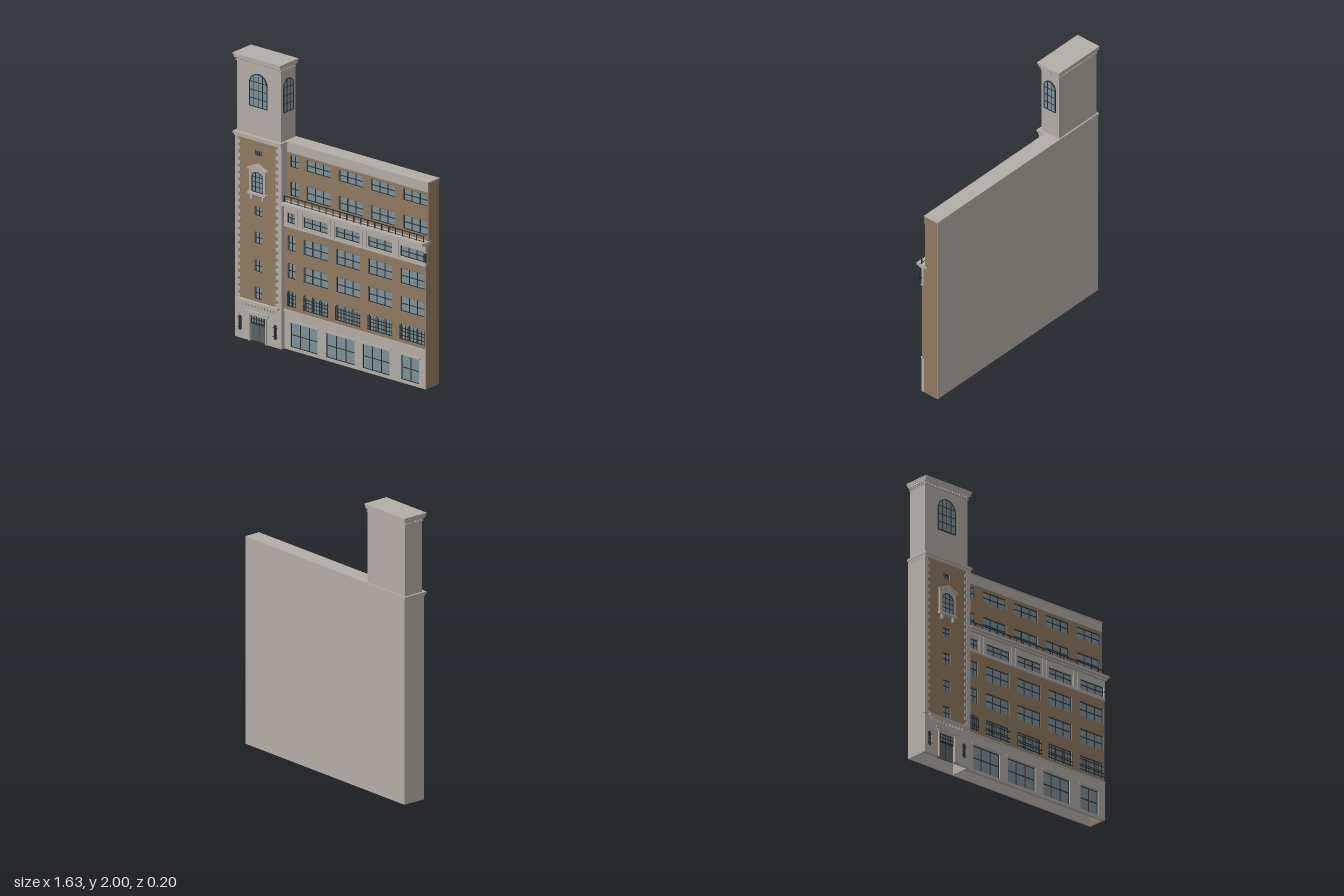
import * as THREE from 'three';

const mat = (name, color) => Object.assign(new THREE.MeshStandardMaterial({ color }), { name });
const stone = mat('stone', 0xb3ada5);
const brick = mat('brick', 0x917a61);
const glass = mat('glass', 0x7d9199);
const dark = mat('dark metal', 0x2c3336);
const doorGrey = mat('door grey', 0x5c6163);

// Box given by its extents
function box(parent, name, m, x0, x1, y0, y1, z0, z1) {
  const mesh = new THREE.Mesh(new THREE.BoxGeometry(x1 - x0, y1 - y0, z1 - z0), m);
  mesh.position.set((x0 + x1) / 2, (y0 + y1) / 2, (z0 + z1) / 2);
  mesh.name = name;
  parent.add(mesh);
  return mesh;
}

function extrude(parent, name, m, shape, depth, z) {
  const mesh = new THREE.Mesh(new THREE.ExtrudeGeometry(shape, { depth, bevelEnabled: false, curveSegments: 16 }), m);
  mesh.position.z = z;
  mesh.name = name;
  parent.add(mesh);
}

const outline = (Type, pts) => new Type(pts.map(p => new THREE.Vector2(...p)));
const rect = (Type, x0, x1, y0, y1) => outline(Type, [[x0, y0], [x1, y0], [x1, y1], [x0, y1]]);

// Front wall pierced by windows; each window is {x0,x1,y0,y1,cols,rows}
function wall(parent, name, m, x0, x1, y0, y1, front, windows) {
  const shape = rect(THREE.Shape, x0, x1, y0, y1);
  windows.forEach(w => shape.holes.push(rect(THREE.Path, w.x0, w.x1, w.y0, w.y1)));
  extrude(parent, name, m, shape, 0.02, front - 0.02);
  windows.forEach(w => glazing(parent, w, front - 0.013));
}

// Glass pane with frame and glazing bars
function glazing(parent, { x0, x1, y0, y1, cols, rows }, z) {
  const g = new THREE.Group();
  g.name = 'window';
  parent.add(g);
  box(g, 'pane', glass, x0, x1, y0, y1, z - 0.005, z);
  const t = 0.0025;
  for (let i = 0; i <= cols; i++) {
    const x = THREE.MathUtils.clamp(x0 + (x1 - x0) * i / cols, x0 + t, x1 - t);
    box(g, 'upright', dark, x - t, x + t, y0, y1, z, z + 0.005);
  }
  for (let i = 0; i <= rows; i++) {
    const y = THREE.MathUtils.clamp(y0 + (y1 - y0) * i / rows, y0 + t, y1 - t);
    box(g, 'crossbar', dark, x0, x1, y - t, y + t, z, z + 0.005);
  }
}

function archShape(Type, w, y0, y1) {
  const s = new Type();
  s.moveTo(-w, y0);
  s.lineTo(w, y0);
  s.lineTo(w, y1 - w);
  s.absarc(0, y1 - w, w, 0, Math.PI, false);
  s.lineTo(-w, y0);
  return s;
}

// Round-headed window, centred on its group's x = 0 and lying on z = 0
function archWindow(parent, w, y0, y1, cols, rows) {
  const g = new THREE.Group();
  g.name = 'archedWindow';
  parent.add(g);
  extrude(g, 'pane', glass, archShape(THREE.Shape, w, y0, y1), 0.004, 0);
  const ring = archShape(THREE.Shape, w + 0.003, y0 - 0.003, y1 + 0.003);
  ring.holes.push(archShape(THREE.Path, w - 0.002, y0 + 0.002, y1 - 0.002));
  extrude(g, 'frame', dark, ring, 0.008, 0);
  const spring = y1 - w, t = 0.002;
  for (let i = 1; i < cols; i++) {
    const x = -w + 2 * w * i / cols;
    box(g, 'upright', dark, x - t, x + t, y0, spring + Math.sqrt(w * w - x * x), 0, 0.007);
  }
  for (let i = 1; i < rows; i++) {
    const y = y0 + (y1 - y0) * i / rows;
    const h = y > spring ? Math.sqrt(w * w - (y - spring) ** 2) : w;
    box(g, 'crossbar', dark, -h, h, y - t, y + t, 0, 0.007);
  }
  return g;
}

function createMainBlock() {
  const g = new THREE.Group();
  g.name = 'mainBlock';
  const L = -0.41, R = 0.797, F = 0.045, S = 0.017;
  const columns = [[-0.384, -0.315, 2], [-0.246, -0.04, 3], [0.03, 0.236, 3], [0.305, 0.51, 3], [0.58, 0.787, 3]];
  const row = (y0, y1, rows = 2) => columns.map(([x0, x1, cols]) => ({ x0, x1, y0, y1, cols, rows }));

  // Street floor with shop windows
  const shops = [[-0.358, -0.125, 3], [-0.055, 0.188, 3], [0.257, 0.49, 3], [0.585, 0.74, 2]]
    .map(([x0, x1, cols]) => ({ x0, x1, y0: 0.02, y1: 0.195, cols, rows: 2 }));
  wall(g, 'streetFloor', stone, L, R, 0, 0.275, F + 0.002, shops);
  shops.forEach(w => box(g, 'shopLintel', stone, w.x0 - 0.012, w.x1 + 0.012, 0.198, 0.211, F, F + 0.01));
  box(g, 'streetCornice', stone, L, R, 0.27, 0.28, F - 0.02, F + 0.008);

  // Brick floors, stone floor, set-back floors
  wall(g, 'lowerBrick', brick, L, R, 0.275, 0.87, F, [...row(0.30, 0.414), ...row(0.5, 0.61), ...row(0.695, 0.806)]);
  wall(g, 'stoneFloor', stone, L, R, 0.87, 1.015, F + 0.004, row(0.89, 0.965));
  box(g, 'stoneFloorSill', stone, L, R, 0.865, 0.875, F - 0.01, F + 0.01);
  wall(g, 'upperBrick', brick, L, R, 1.02, 1.38, S, [...row(1.07, 1.172), ...row(1.273, 1.358)]);
  box(g, 'topFrieze', stone, L, R, 1.378, 1.446, 0, S + 0.003);

  // Window guards on the first brick floor
  columns.forEach(([x0, x1, cols]) => {
    const n = cols * 3;
    for (let i = 0; i <= n; i++) {
      const x = x0 + (x1 - x0) * i / n;
      box(g, 'guardBar', dark, x - 0.0015, x + 0.0015, 0.305, 0.405, F + 0.002, F + 0.006);
    }
    [0.31, 0.335, 0.385].forEach(y => box(g, 'guardRail', dark, x0 - 0.004, x1 + 0.004, y - 0.002, y + 0.002, F, F + 0.007));
  });

  // Slim pilasters between the stone floor windows
  for (let i = 0; i < columns.length - 1; i++) {
    const mid = (columns[i][1] + columns[i + 1][0]) / 2;
    [-0.018, 0.018].forEach(d => box(g, 'pilaster', stone, mid + d - 0.008, mid + d + 0.008, 0.876, 1.01, F, F + 0.009));
  }

  // Balcony and railing
  box(g, 'balconyMoulding', stone, L, R, 1.008, 1.02, 0, 0.07);
  box(g, 'balconySlab', stone, L, 0.80, 1.018, 1.035, 0, 0.09);
  box(g, 'topRail', dark, L, R, 1.076, 1.082, 0.053, 0.059);
  box(g, 'bottomRail', dark, L, R, 1.04, 1.043, 0.054, 0.058);
  for (let i = 0; i <= 20; i++) {
    const x = L + 0.006 + i * 0.0595;
    box(g, 'railPost', dark, x - 0.003, x + 0.003, 1.035, 1.078, 0.053, 0.059);
  }

  // Side, roof and small wall bracket
  box(g, 'sideWallLower', brick, R - 0.012, R, 0, 1.015, -0.09, F - 0.002);
  box(g, 'sideWallUpper', brick, R - 0.012, R, 1.015, 1.444, -0.09, S - 0.002);
  box(g, 'roof', stone, L, R, 1.435, 1.445, -0.09, S);
  box(g, 'roofEdge', stone, L, R + 0.002, 1.443, 1.45, -0.095, S + 0.008);
  box(g, 'sideBracket', dark, R - 0.002, 0.812, 0.9, 0.962, 0.058, 0.064);
  box(g, 'bracketArm', dark, R - 0.01, 0.803, 0.925, 0.935, F, 0.06);
  return g;
}

function createTower() {
  const g = new THREE.Group();
  g.name = 'tower';
  const L = -0.807, R = -0.41, F = 0.07, C = -0.613;

  // Entrance floor
  const slits = [[-0.78, -0.75], [-0.48, -0.45]].map(([x0, x1]) => ({ x0, x1, y0: 0.06, y1: 0.155, cols: 2, rows: 4 }));
  const transom = { x0: -0.68, x1: -0.548, y0: 0.125, y1: 0.18, cols: 6, rows: 2 };
  const base = outline(THREE.Shape, [[L, 0], [-0.68, 0], [-0.68, 0.18], [-0.548, 0.18], [-0.548, 0], [R, 0], [R, 0.28], [L, 0.28]]);
  slits.forEach(w => base.holes.push(rect(THREE.Path, w.x0, w.x1, w.y0, w.y1)));
  extrude(g, 'entranceFloor', stone, base, 0.025, F - 0.02);
  slits.forEach(w => {
    glazing(g, w, F - 0.008);
    [0.25, 0.5, 0.75].forEach(k => {
      const x = w.x0 + (w.x1 - w.x0) * k;
      box(g, 'grilleBar', dark, x - 0.002, x + 0.002, 0.056, 0.159, F + 0.004, F + 0.008);
    });
    [0.075, 0.14].forEach(y => box(g, 'grilleRail', dark, w.x0 - 0.003, w.x1 + 0.003, y - 0.002, y + 0.002, F + 0.004, F + 0.009));
  });
  glazing(g, transom, F - 0.012);
  [[-0.68, C - 0.002], [C + 0.002, -0.548]].forEach(([x0, x1]) => box(g, 'doorLeaf', doorGrey, x0, x1, 0, 0.12, F - 0.02, F - 0.012));
  box(g, 'doorGap', dark, C - 0.002, C + 0.002, 0, 0.12, F - 0.02, F - 0.013);
  box(g, 'doorHead', dark, -0.68, -0.548, 0.116, 0.126, F - 0.02, F - 0.005);
  [-0.692, -0.548].forEach(x => box(g, 'doorJamb', stone, x, x + 0.012, 0, 0.19, F, F + 0.012));
  box(g, 'doorLintel', stone, -0.7, -0.528, 0.188, 0.2, F, F + 0.014);
  box(g, 'doorHood', stone, -0.712, -0.516, 0.2, 0.214, F, F + 0.018);

  // Cornice on brackets above the entrance
  box(g, 'entranceCornice', stone, -0.775, -0.43, 0.272, 0.284, F - 0.01, 0.096);
  box(g, 'entranceCorniceLower', stone, -0.762, -0.443, 0.262, 0.273, F - 0.01, 0.088);
  for (let i = 0; i < 11; i++) {
    const x = -0.745 + i * 0.0264;
    box(g, 'corniceBracket', stone, x - 0.007, x + 0.007, 0.24, 0.263, F, 0.084);
  }

  // Brick shaft with small windows and a vent
  const lights = [[0.30, 0.387], [0.493, 0.578], [0.69, 0.775], [0.886, 0.955]]
    .map(([y0, y1]) => ({ x0: -0.645, x1: -0.58, y0, y1, cols: 2, rows: 2 }));
  lights.push({ x0: -0.643, x1: -0.584, y0: 1.31, y1: 1.348, cols: 4, rows: 1 });
  wall(g, 'brickShaft', brick, L, R, 0.28, 1.43, F, lights);

  // Quoins, alternately long and short
  for (let i = 0; i < 46; i++) {
    const y = 0.284 + i * 0.0247, w = i % 2 ? 0.024 : 0.042;
    box(g, 'quoinRight', stone, L - 0.002, L + w, y, y + 0.0247, F - 0.02, F + 0.006);
    box(g, 'quoinLeft', stone, R - w - 0.008, R + 0.001, y, y + 0.0247, F - 0.02, F + 0.006);
  }

  // Pedimented window
  const arch = archWindow(g, 0.047, 1.06, 1.2, 3, 4);
  arch.position.set(C, 0, F + 0.004);
  [-1, 1].forEach(s => {
    box(g, 'windowPilaster', stone, C + s * 0.06 - 0.01, C + s * 0.06 + 0.01, 1.06, 1.215, F, F + 0.014);
    box(g, 'sillBracket', stone, C + s * 0.048 - 0.007, C + s * 0.048 + 0.007, 1.005, 1.045, F, F + 0.018);
  });
  const surround = rect(THREE.Shape, C - 0.06, C + 0.06, 1.05, 1.22);
  const hole = archShape(THREE.Path, 0.047, 1.06, 1.2);
  surround.holes.push(new THREE.Path(hole.getPoints(16).map(p => p.setX(p.x + C))));
  extrude(g, 'windowSurround', stone, surround, 0.01, F);
  box(g, 'windowSill', stone, C - 0.075, C + 0.075, 1.04, 1.055, F, 0.094);
  box(g, 'pedimentBase', stone, C - 0.078, C + 0.078, 1.213, 1.224, F, 0.09);
  extrude(g, 'pediment', stone, outline(THREE.Shape, [[C - 0.083, 1.222], [C + 0.083, 1.222], [C, 1.262]]), 0.024, F);

  // Side walls and mid cornice
  box(g, 'outerSide', stone, L, L + 0.012, 0, 1.43, -0.09, F - 0.001);
  box(g, 'innerSide', stone, R - 0.012, R, 0, 1.43, -0.09, F - 0.001);
  box(g, 'midCorniceLower', stone, L - 0.003, R + 0.002, 1.418, 1.434, -0.09, 0.082);
  box(g, 'midCornice', stone, -0.815, -0.405, 1.434, 1.45, -0.095, 0.093);

  // Belfry with arched windows on the front and inner side
  box(g, 'belfry', stone, -0.80, -0.424, 1.45, 1.97, -0.085, 0.066);
  archWindow(g, 0.074, 1.655, 1.885, 4, 4).position.set(-0.613, 0, 0.066);
  const side = archWindow(g, 0.048, 1.655, 1.885, 3, 4);
  side.position.set(-0.424, 0, -0.008);
  side.rotation.y = Math.PI / 2;

  // Crown with dentils
  const X0 = -0.80, X1 = -0.424, Z0 = -0.085, Z1 = 0.066;
  [[1.945, 1.952, 0.004], [1.966, 1.978, 0.009], [1.978, 1.99, 0.012], [1.99, 2, 0.015]].forEach(([y0, y1, d]) =>
    box(g, 'crownMoulding', stone, X0 - d, X1 + d, y0, y1, Z0 - d, Z1 + d * 1.8));
  for (let i = 0; i < 18; i++) {
    const x = X0 + 0.01 + i * 0.021;
    box(g, 'crownDentil', stone, x - 0.005, x + 0.005, 1.954, 1.967, Z1 - 0.002, Z1 + 0.01);
  }
  for (let i = 0; i < 7; i++) {
    const z = Z0 + 0.012 + i * 0.021;
    box(g, 'crownDentil', stone, X0 - 0.007, X1 + 0.007, 1.954, 1.967, z - 0.005, z + 0.005);
  }
  return g;
}

export function createModel() {
  const model = new THREE.Group();
  model.name = 'building';
  model.add(createMainBlock(), createTower());
  box(model, 'backWall', stone, -0.807, 0.797, 0, 1.444, -0.093, -0.085);
  return model;
}
